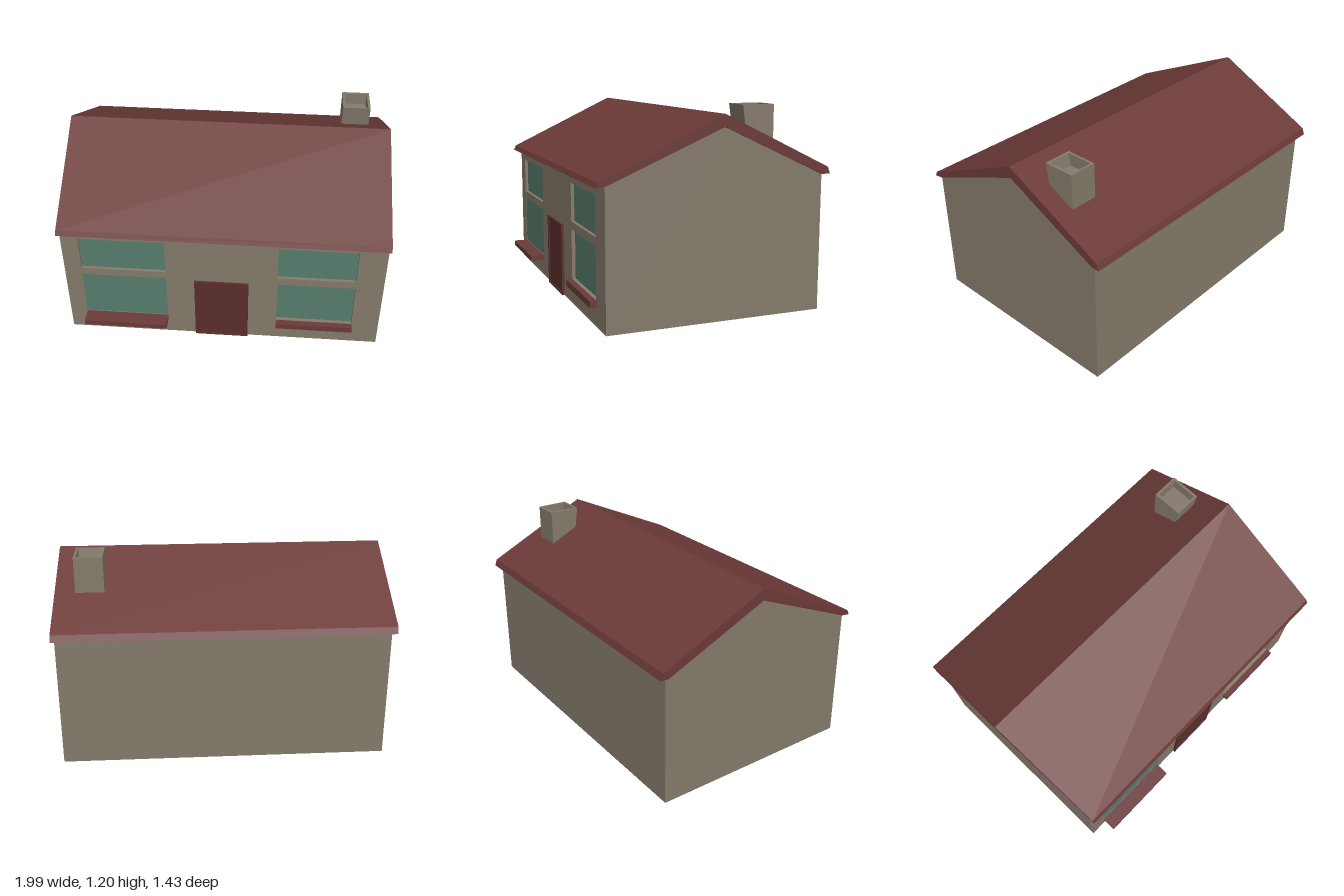
import * as THREE from 'three';

const WALL = 0x857a6c, ROOF = 0x6b3a38, GLASS = 0x587c6e, DOOR = 0x5a2e2c;
const FRONT = 0.63, RECESS = 0.025;

const material = (color) => new THREE.MeshStandardMaterial({ color, flatShading: true });

function add(parent, name, geometry, color) {
  const mesh = new THREE.Mesh(geometry, material(color));
  mesh.name = name;
  parent.add(mesh);
  return mesh;
}

// Box given by its lower and upper limits on each axis
function box(parent, name, color, [x0, x1], [y0, y1], [z0, z1]) {
  const g = new THREE.BoxGeometry(x1 - x0, y1 - y0, z1 - z0);
  g.translate((x0 + x1) / 2, (y0 + y1) / 2, (z0 + z1) / 2);
  return add(parent, name, g, color);
}

const rectangle = (Type, [x0, x1], [y0, y1]) => new Type([
  new THREE.Vector2(x0, y0), new THREE.Vector2(x1, y0),
  new THREE.Vector2(x1, y1), new THREE.Vector2(x0, y1),
]);

// Prism along x from a profile of [z, y] points
function prismX(points, x0, x1) {
  const shape = new THREE.Shape(points.map(([z, y]) => new THREE.Vector2(z, y)));
  const g = new THREE.ExtrudeGeometry(shape, { depth: x1 - x0, bevelEnabled: false });
  return g.rotateY(-Math.PI / 2).translate(x1, 0, 0);
}

export function createModel() {
  const house = new THREE.Group();
  house.name = 'house';

  // Main body with gable ends
  const inner = FRONT - RECESS;
  add(house, 'walls', prismX(
    [[inner, 0], [inner, 0.82], [-0.05, 1.1], [-0.67, 0.82], [-0.67, 0]], -0.96, 0.97), WALL);

  // Front wall with window openings
  const windows = [
    { name: 'upperRightWindow', x: [-0.855, -0.34], y: [0.5, 0.73], depth: 0.02 },
    { name: 'upperLeftWindow', x: [0.335, 0.803], y: [0.5, 0.73], depth: 0.02 },
    { name: 'lowerRightWindow', x: [-0.855, -0.34], y: [0.14, 0.45], depth: 0.003 },
    { name: 'lowerLeftWindow', x: [0.338, 0.805], y: [0.15, 0.45], depth: 0.022 },
  ];
  const facade = rectangle(THREE.Shape, [-0.96, 0.97], [0, 0.815]);
  for (const w of windows) facade.holes.push(rectangle(THREE.Path, w.x, w.y));
  const facadeGeo = new THREE.ExtrudeGeometry(facade, { depth: RECESS, bevelEnabled: false });
  add(house, 'frontWall', facadeGeo.translate(0, 0, inner), WALL);
  for (const w of windows) box(house, w.name, GLASS, w.x, w.y, [inner - 0.01, FRONT - w.depth]);

  // Window sills
  box(house, 'rightSill', ROOF, [-0.855, -0.34], [0.105, 0.138], [0.62, 0.72]);
  box(house, 'leftSill', ROOF, [0.338, 0.808], [0.11, 0.148], [0.62, 0.667]);

  // Door: a raised frame around a slightly sunken panel
  const frame = rectangle(THREE.Shape, [-0.167, 0.162], [0, 0.445]);
  frame.holes.push(rectangle(THREE.Path, [-0.15, 0.147], [0.012, 0.43]));
  const frameGeo = new THREE.ExtrudeGeometry(frame, { depth: 0.025, bevelEnabled: false });
  add(house, 'doorFrame', frameGeo.translate(0, 0, 0.62), DOOR);
  box(house, 'doorPanel', DOOR, [-0.155, 0.152], [0.005, 0.435], [0.61, 0.638]);

  // Roof shell with turned-down eaves; its ends lean outward towards the ridge
  const roofGeo = prismX([
    [0.684, 0.792], [0.67, 0.822], [-0.05, 1.155], [-0.7, 0.84],
    [-0.715, 0.8], [-0.665, 0.8], [-0.05, 1.085], [0.625, 0.8],
  ], -1, 0.985);
  const p = roofGeo.attributes.position;
  for (let i = 0; i < p.count; i++) {
    const z = p.getZ(i), away = Math.min(1, Math.abs(z + 0.05) / 0.72);
    if (p.getX(i) < 0) p.setX(i, -1 + away * (z > 0 ? 0.035 : 0.018));
    else p.setX(i, 0.982 + away * (z > 0 ? -0.006 : 0.006));
  }
  roofGeo.computeVertexNormals();
  add(house, 'roof', roofGeo, ROOF);

  // Hollow chimney, its front face leaning forward towards the top
  const flue = rectangle(THREE.Shape, [0.695, 0.865], [0.215, 0.41]);
  flue.holes.push(rectangle(THREE.Path, [0.71, 0.85], [0.23, 0.395]));
  const chimneyGeo = new THREE.ExtrudeGeometry(flue, { depth: 0.275, bevelEnabled: false });
  chimneyGeo.rotateX(-Math.PI / 2).translate(0, 0.92, 0);
  const c = chimneyGeo.attributes.position;
  for (let i = 0; i < c.count; i++) {
    if (c.getZ(i) > -0.3 && c.getY(i) < 1) c.setZ(i, c.getZ(i) - 0.04);
  }
  chimneyGeo.computeVertexNormals();
  add(house, 'chimney', chimneyGeo, WALL);
  box(house, 'chimneyFloor', WALL, [0.7, 0.86], [1.05, 1.12], [-0.4, -0.24]);

  return house;
}
